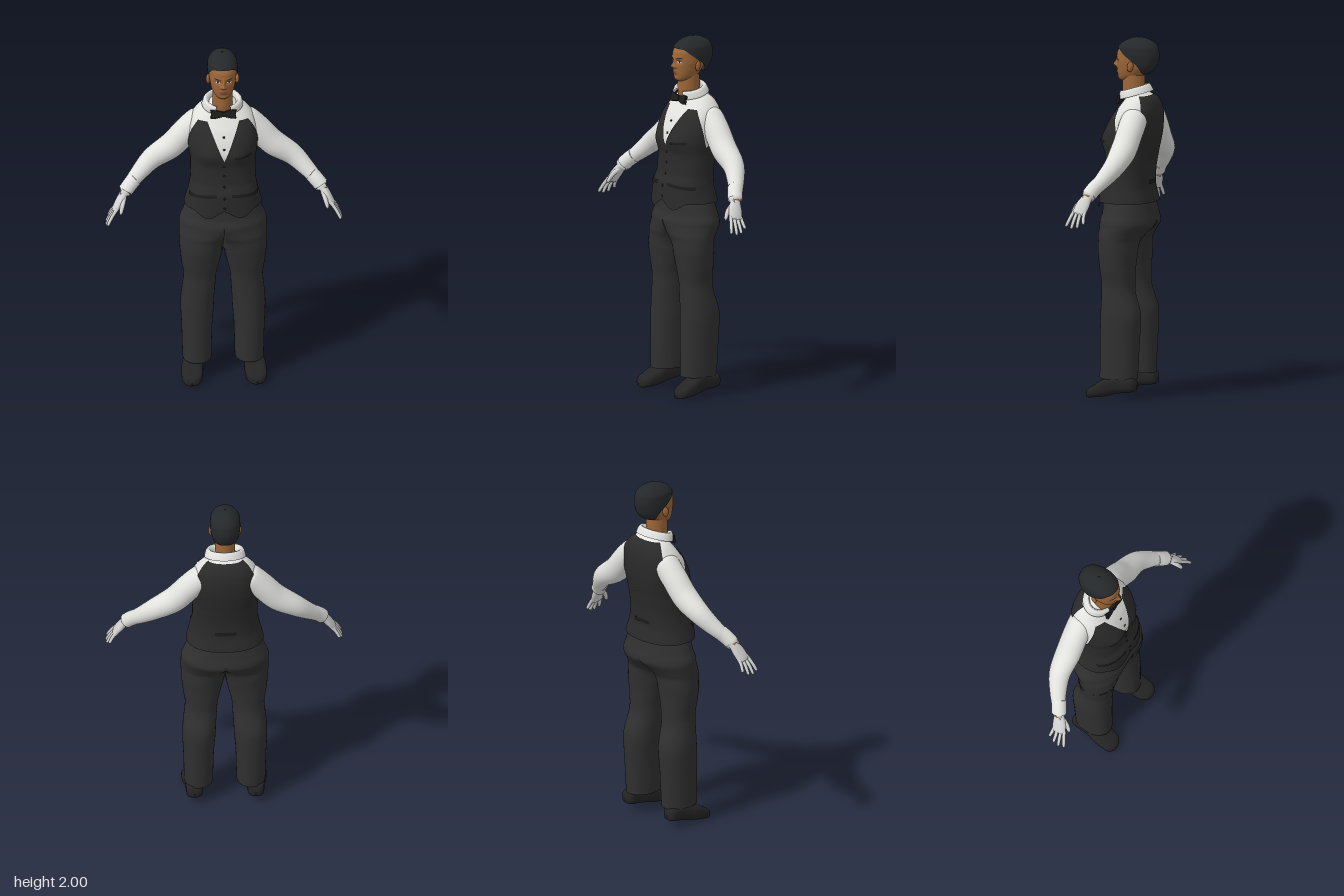
import * as THREE from 'three';
import { ParametricGeometry } from 'three/addons/geometries/ParametricGeometry.js';

const PI = Math.PI;
const material = (name, color, open = false) => {
  const m = new THREE.MeshStandardMaterial({ color });
  m.name = name;
  if (open) m.side = THREE.DoubleSide;
  return m;
};

// Smooth, overshoot-free lookup in rows [key, a, b, ...]
function lookup(rows, key, col) {
  const n = rows.length - 1;
  let i = 0;
  while (i < n - 1 && key > rows[i + 1][0]) i++;
  const slope = j => (rows[j + 1][col] - rows[j][col]) / (rows[j + 1][0] - rows[j][0]);
  const tangent = j => {
    if (j === 0) return slope(0);
    if (j === n) return slope(n - 1);
    const a = slope(j - 1), b = slope(j);
    return a * b <= 0 ? 0 : 2 * a * b / (a + b);
  };
  const h = rows[i + 1][0] - rows[i][0];
  const t = Math.min(1, Math.max(0, (key - rows[i][0]) / h)), q = t * t, c = q * t;
  return (2 * c - 3 * q + 1) * rows[i][col] + (c - 2 * q + t) * h * tangent(i)
    + (3 * q - 2 * c) * rows[i + 1][col] + (c - q) * h * tangent(i + 1);
}

// Upright body surface from rows [y, halfWidth, zFront, zBack, xCentre]; bumps [x, y, height, sx, sy]
function bodySurface(rows, p = 1, bumps = [], side = 1) {
  const pow = a => Math.sign(a) * Math.pow(Math.abs(a), p);
  return {
    at(angle, y, off, out) {
      const w = lookup(rows, y, 1) + off, zf = lookup(rows, y, 2) + off, zb = lookup(rows, y, 3) - off;
      const x = w * pow(Math.sin(angle)), c = Math.cos(angle);
      let z = (zf + zb) / 2 + (zf - zb) / 2 * pow(c);
      for (const [bx, by, h, sx, sy] of bumps)
        z += h * Math.max(0, c) * Math.exp(-(((x - bx) / sx) ** 2) - ((y - by) / sy) ** 2);
      return out.set(x + (rows[0].length > 4 ? side * lookup(rows, y, 4) : 0), y, z);
    },
    angle(x, y) {
      return Math.sign(x) * Math.asin(Math.pow(Math.min(1, Math.abs(x) / lookup(rows, y, 1)), 1 / p));
    },
  };
}

export function createModel() {
  const model = new THREE.Group();
  model.name = 'figure';
  const M = {
    trousers: material('trouser cloth', 0x303031, true),
    vest: material('vest cloth', 0x2a2a2b, true),
    black: material('black trim', 0x1c1c1d, true),
    shoe: material('shoe leather', 0x242424),
    hair: material('hair', 0x25282a, true),
    skin: material('skin', 0x9c6638),
    lips: material('lips', 0x7e4a30, true),
    shirt: material('shirt cotton', 0xe2e2df, true),
    glove: material('glove', 0xd4d4d3),
  };
  const add = (name, geo, mat, parent = model) => {
    const m = new THREE.Mesh(geo, mat);
    m.name = name;
    parent.add(m);
    return m;
  };
  const sheet = (name, fn, nu, nv, mat) => add(name, new ParametricGeometry(fn, nu, nv), mat);
  const loft = (name, s, lo, hi, nu, nv, mat, off = 0, ease = v => v) =>
    sheet(name, (u, v, t) => s.at(u * 2 * PI, lo + (hi - lo) * ease(v), off, t), nu, nv, mat);
  const round = v => (1 - Math.cos(PI * v)) / 2;

  // Sweep along points [x, y, z, radius, radius2], mirrored by side
  const sweep = (name, pts, side, mat, nu = 20, nv = 24) => {
    const curve = new THREE.CatmullRomCurve3(pts.map(q => new THREE.Vector3(q[0] * side, q[1], q[2])));
    const radii = pts.map((q, i) => [i / (pts.length - 1), q[3], q[4] ?? q[3]]);
    const ref = new THREE.Vector3(0, 0, 1), T = new THREE.Vector3(), N = new THREE.Vector3(), B = new THREE.Vector3();
    return sheet(name, (u, v, t) => {
      curve.getTangent(v, T);
      N.crossVectors(ref, T).normalize();
      B.crossVectors(T, N);
      curve.getPoint(v, t);
      t.addScaledVector(N, lookup(radii, v, 1) * Math.cos(u * 2 * PI));
      t.addScaledVector(B, lookup(radii, v, 2) * Math.sin(u * 2 * PI));
    }, nu, nv, mat);
  };

  // Thin plate lying on a surface; curved = 1 gives a lens, 0 a straight strip
  const plate = (name, s, x, y, hw, hh, off, mat, curved = 1, tilt = 0, turn = 0) =>
    sheet(name, (u, v, t) => {
      const k = 2 * u - 1, h = hh * (curved ? Math.sqrt(Math.max(0.02, 1 - k * k)) : 1);
      const py = y + tilt * k + (2 * v - 1) * h;
      s.at(s.angle(x + hw * k, py) + turn, py, off, t);
    }, 14, 4, mat);

  // Torso: shirt underneath, vest panels just above it
  const torso = bodySurface([
    [1.04, .222, .15, -.157], [1.10, .206, .147, -.146], [1.18, .186, .143, -.130], [1.25, .175, .122, -.132],
    [1.35, .174, .115, -.148], [1.42, .184, .122, -.162], [1.48, .19, .112, -.172], [1.55, .186, .083, -.176],
    [1.60, .172, .05, -.172], [1.64, .145, .022, -.16], [1.665, .12, .004, -.143], [1.69, .08, -.01, -.11], [1.71, .05, -.03, -.08],
  ], .87, [[-.09, 1.43, .016, .06, .055], [.09, 1.43, .016, .06, .055]]);
  loft('shirtBody', torso, 1.3, 1.71, 72, 40, M.shirt);
  const hem = [[0, 1.095], [.36, 1.05], [.9, 1.09], [PI, 1.085]];
  const split = 1.4, off = .006;
  sheet('vestBody', (u, v, t) => {
    const a = u * 2 * PI, lo = lookup(hem, Math.min(a, 2 * PI - a), 1);
    torso.at(a, lo + (split - lo) * v, off, t);
  }, 96, 40, M.vest);
  const frontEdge = [[1.4, PI / 2], [1.5, 1.32], [1.61, .88]];
  const backEdge = [[1.4, PI / 2], [1.5, 1.98], [1.58, 2.12], [1.68, 1.95]];
  for (const s of [1, -1])
    sheet('vestFrontPanel', (u, v, t) => {
      const y = split + .21 * v, a = torso.angle(.085 * v, y), b = lookup(frontEdge, y, 1);
      torso.at(s > 0 ? a + (b - a) * u : -b + (b - a) * u, y, off, t);
    }, 28, 24, M.vest);
  sheet('vestBackPanel', (u, v, t) => {
    const y = split + .28 * v, a = lookup(backEdge, y, 1);
    torso.at(a + (2 * PI - 2 * a) * u, y, off, t);
  }, 40, 30, M.vest);

  // Pockets, back tab and buttons
  for (const s of [1, -1]) plate('vestPocket', torso, .11 * s, 1.183, .07, .009, .011, M.black, 0, -.008 * s);
  plate('chestPocket', torso, .1, 1.425, .045, .007, .011, M.black, 0, .003);
  plate('backTab', torso, 0, 1.2, .055, .011, .011, M.black, 0, 0, PI);
  for (const y of [1.115, 1.175, 1.24, 1.305, 1.365, 1.47, 1.535]) {
    const b = add('button', new THREE.SphereGeometry(.007, 10, 6), M.black);
    torso.at(0, y, y < split ? off : 0, b.position);
    b.scale.z = .6;
  }

  // Trousers: one hip surface that pinches into two legs
  const hips = [
    [.8, .24, .13, -.085], [.87, .243, .14, -.098], [.91, .244, .15, -.125], [.97, .243, .15, -.163],
    [1.03, .222, .136, -.152], [1.09, .2, .133, -.14], [1.13, .185, .125, -.122],
  ];
  sheet('trouserHips', (u, v, t) => {
    const y = .8 + .33 * v, x = Math.sin(u * 2 * PI), c = Math.cos(u * 2 * PI);
    const k = (1 - THREE.MathUtils.smoothstep(y, .79, 1.0)) ** 1.5;
    const lobe = Math.sqrt(Math.max(0, 1 - (2 * Math.abs(x) - 1) ** 2));
    const zf = lookup(hips, y, 2), zb = lookup(hips, y, 3);
    const f = (1 - k) * Math.abs(c) + k * lobe;
    t.set(x * lookup(hips, y, 1), y, (zf + zb) / 2 + (zf - zb) / 2 * f * Math.sign(c));
  }, 112, 40, M.trousers);
  const legRows = [
    [.11, .08, .115, -.1, .145], [.3, .085, .113, -.11, .145], [.45, .0925, .11, -.117, .1425],
    [.62, .09, .107, -.077, .13], [.72, .106, .118, -.078, .126], [.805, .121, .13, -.085, .12],
  ];
  // Shoes: rows [z, halfWidth, sole, top]
  const shoeRows = [
    [-.107, .003, .065, .075], [-.102, .03, .048, .1], [-.085, .045, .04, .12], [0, .05, .028, .13], [.08, .061, .009, .105],
    [.14, .057, .002, .07], [.17, .04, 0, .05], [.18, .02, .004, .036], [.184, .003, .015, .022],
  ];
  for (const s of [1, -1]) {
    loft('trouserLeg', bodySurface(legRows, .92, [], s), .11, .805, 40, 40, M.trousers);
    sheet('shoe', (u, v, t) => {
      const z = -.107 + .291 * round(v), a = u * 2 * PI, lo = lookup(shoeRows, z, 2), hi = lookup(shoeRows, z, 3);
      const sq = q => Math.sign(q) * Math.abs(q) ** .7;
      t.set(s * (.17 + .06 * Math.max(0, z)) + lookup(shoeRows, z, 1) * sq(Math.cos(a)), (lo + hi) / 2 + (hi - lo) / 2 * sq(Math.sin(a)), z);
    }, 32, 36, M.shoe);
  }

  // Arms, cuffs and gloved hands
  for (const s of [1, -1]) {
    sweep('sleeve', [[.1, 1.575, -.08, .05], [.14, 1.55, -.08, .073], [.2, 1.492, -.078, .073], [.28, 1.405, -.072, .072],
      [.39, 1.33, -.06, .06], [.465, 1.262, -.022, .047], [.525, 1.205, .02, .036]], s, M.shirt, 28, 40);
    sweep('cuff', [[.488, 1.238, -.002, .034], [.492, 1.235, 0, .043], [.52, 1.208, .02, .042],
      [.543, 1.182, .035, .041], [.541, 1.184, .034, .03]], s, M.shirt, 24, 20);
    sweep('wrist', [[.52, 1.21, .02, .024], [.555, 1.167, .042, .024]], s, M.skin, 16, 6);
    sweep('palm', [[.535, 1.19, .032, .02, .026], [.553, 1.168, .042, .023, .03], [.58, 1.125, .06, .021, .04],
      [.603, 1.085, .072, .016, .04], [.608, 1.075, .075, .003, .02]], s, M.glove);
    for (let i = 0; i < 4; i++) {
      const z = .1 - i * .02, reach = [.9, 1, .95, .75][i], d = (1.5 - i) * .012;
      sweep('finger', [[.592, 1.105, z, .010], [.592 + .035 * reach, 1.105 - .05 * reach, z + .008 + d * .5, .0098],
        [.592 + .058 * reach, 1.105 - .094 * reach, z + .012 + d, .008],
        [.592 + .06 * reach, 1.105 - .1 * reach, z + .012 + d, .001]], s, M.glove, 10, 14);
    }
    sweep('thumb', [[.552, 1.155, .06, .015], [.562, 1.125, .098, .013], [.572, 1.09, .118, .010], [.574, 1.078, .123, .001]], s, M.glove, 12, 14);
  }

  // Neck and head with modelled face
  loft('neck', bodySurface([[1.62, .062, .02, -.11], [1.7, .056, .036, -.092], [1.79, .056, .035, -.09]]), 1.62, 1.79, 32, 8, M.skin);
  const head = bodySurface([
    [1.752, .004, .03, .01], [1.757, .025, .048, -.01], [1.765, .04, .056, -.04], [1.78, .053, .061, -.07], [1.8, .062, .064, -.09],
    [1.83, .07, .066, -.11], [1.87, .075, .068, -.12], [1.91, .076, .066, -.14], [1.95, .069, .045, -.14], [1.98, .048, .01, -.11], [1.992, .01, -.03, -.07],
  ], .9, [
    [0, 1.842, .02, .012, .013], [0, 1.86, .012, .009, .025], [-.014, 1.838, .007, .008, .008], [.014, 1.838, .007, .008, .008],
    [-.031, 1.868, -.009, .017, .011], [.031, 1.868, -.009, .017, .011], [0, 1.805, .006, .022, .012], [0, 1.772, .005, .02, .01],
    [-.03, 1.887, .003, .02, .008], [.03, 1.887, .003, .02, .008],
  ]);
  loft('head', head, 1.752, 1.992, 120, 80, M.skin, 0, round);
  plate('upperLip', head, 0, 1.8105, .024, .0045, .0015, M.lips);
  plate('lowerLip', head, 0, 1.8025, .021, .0045, .0018, M.lips);
  for (const s of [1, -1]) {
    plate('eyeWhite', head, .031 * s, 1.868, .013, .005, .0012, M.shirt);
    plate('iris', head, .031 * s, 1.868, .0055, .005, .002, M.black);
    plate('upperLid', head, .031 * s, 1.8735, .015, .0018, .002, M.black);
    plate('eyebrow', head, .033 * s, 1.889, .019, .003, .0015, M.hair, 1, .001 * s);
    const ear = add('ear', new THREE.SphereGeometry(1, 16, 12), M.skin);
    ear.scale.set(.011, .029, .018);
    ear.position.set(.08 * s, 1.842, -.035);
    ear.rotation.set(-.15, .35 * s, 0);
  }

  // Hair cap with a hairline that drops behind the ears
  const hair = bodySurface([
    [1.795, .058, .0, -.11], [1.82, .07, .03, -.143], [1.86, .08, .055, -.165], [1.9, .083, .071, -.173], [1.94, .08, .061, -.167],
    [1.97, .063, .034, -.146], [1.99, .037, -.004, -.11], [1.997, .02, -.025, -.085], [2, .003, -.05, -.056],
  ], .92);
  const hairline = [[0, 1.942], [.6, 1.938], [1.15, 1.905], [1.6, 1.862], [2.1, 1.805], [PI, 1.797]];
  sheet('hair', (u, v, t) => {
    const a = u * 2 * PI, lo = lookup(hairline, Math.min(a, 2 * PI - a), 1);
    hair.at(a, lo + (2 - lo) * Math.sin(v * PI / 2), .001, t);
  }, 72, 36, M.hair);

  // Folded collar, open at the throat
  const fold = [[.07, -.03], [.076, .015], [.086, .034], [.098, .036], [.108, .022], [.115, -.008]].map(q => new THREE.Vector2(...q));
  const collar = add('collar', new THREE.LatheGeometry(fold, 48, .4, 2 * PI - .8), M.shirt);
  collar.position.set(0, 1.685, -.042);
  collar.rotation.x = .28;
  collar.scale.z = .82;

  // Bow tie
  const bow = new THREE.Group();
  bow.name = 'bowTie';
  bow.position.set(0, 1.654, .036);
  bow.rotation.x = -.25;
  model.add(bow);
  const wing = new THREE.Shape([[0, .011], [.05, .024], [.07, .022], [.066, 0], [.07, -.022], [.05, -.024], [0, -.011],
    [-.05, -.024], [-.07, -.022], [-.066, 0], [-.07, .022], [-.05, .024]].reverse().map(q => new THREE.Vector2(...q)));
  add('bowWings', new THREE.ExtrudeGeometry(wing, { depth: .01, bevelSize: .002, bevelThickness: .003, bevelSegments: 2 }), M.black, bow);
  add('bowKnot', new THREE.BoxGeometry(.022, .028, .022), M.black, bow).position.z = .006;
  return model;
}
